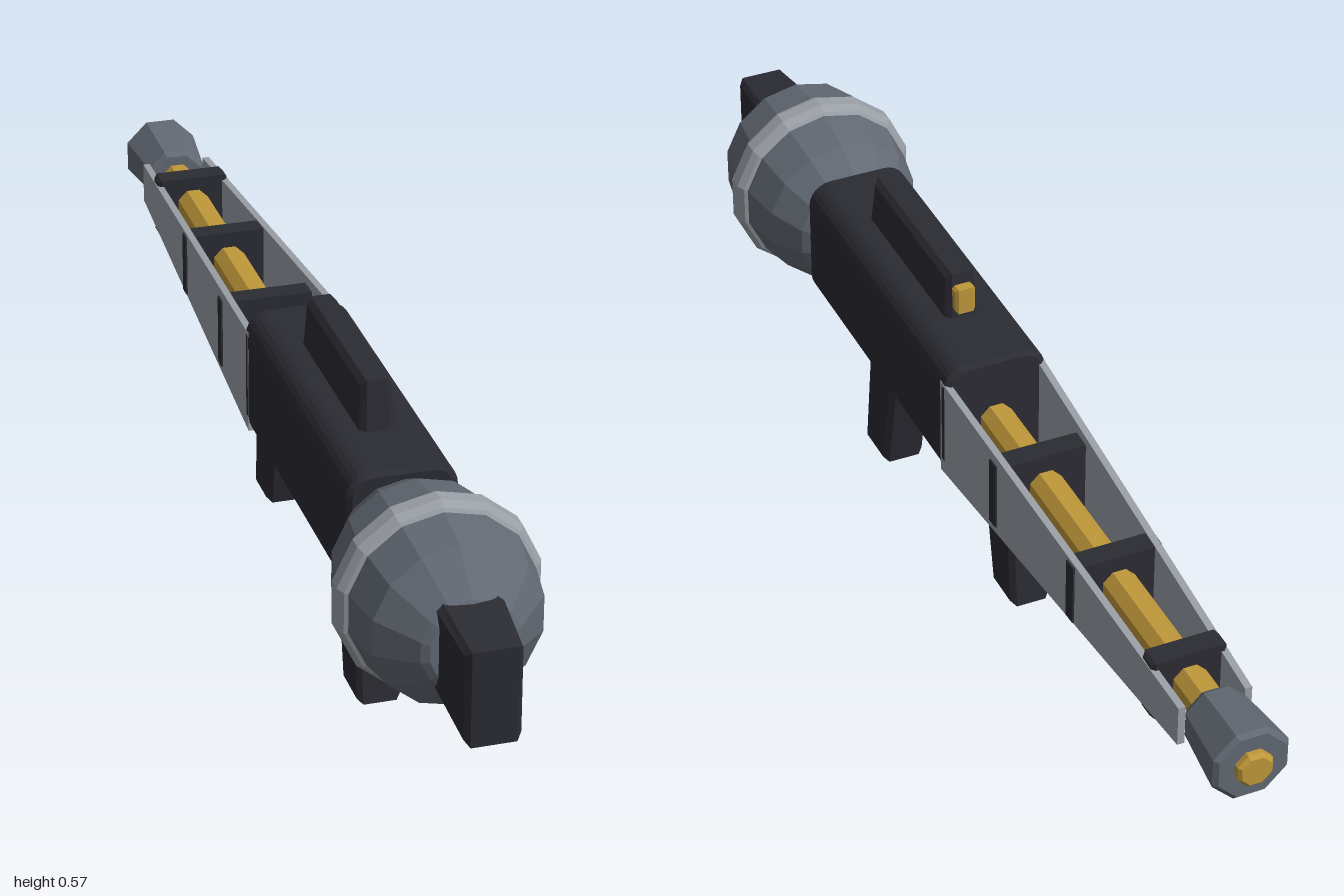
import * as THREE from 'three';

const mat = (name, color, extra = {}) => {
  const m = new THREE.MeshStandardMaterial({ color, flatShading: true, ...extra });
  m.name = name;
  return m;
};

export function createModel() {
  const dark = mat('dark gunmetal', 0x2b2b33);
  const steel = mat('blue steel', 0x626973);
  const silver = mat('light grey metal', 0x9a9fa6);
  const gold = mat('brass', 0xbf983a);
  const AXIS = 0.365;

  const group = new THREE.Group();
  group.name = 'launcher';
  const add = (name, geometry, material) => {
    const mesh = new THREE.Mesh(geometry, material);
    mesh.name = name;
    group.add(mesh);
    return mesh;
  };

  // Move every vertex by a rule
  const warp = (geo, rule) => {
    const p = geo.attributes.position, v = new THREE.Vector3();
    for (let i = 0; i < p.count; i++) {
      rule(v.fromBufferAttribute(p, i));
      p.setXYZ(i, v.x, v.y, v.z);
    }
    geo.computeVertexNormals();
    return geo;
  };

  // Side profile of [z, y] points, extruded across x with chamfered edges
  const slab = (profile, half, bevel) => {
    const shape = new THREE.Shape(profile.map(([z, y]) => new THREE.Vector2(z, y)));
    const geo = new THREE.ExtrudeGeometry(shape, {
      depth: 2 * (half - bevel), bevelEnabled: bevel > 0, bevelSegments: 1,
      bevelSize: bevel, bevelThickness: bevel, bevelOffset: -bevel,
    });
    return geo.translate(0, 0, bevel - half).rotateY(-Math.PI / 2);
  };

  // Turned part along z from [z, radius] points, rear to front
  const turned = (profile, sides, phase = 0) =>
    new THREE.LatheGeometry(profile.map(([z, r]) => new THREE.Vector2(r, z)), sides, phase)
      .rotateX(Math.PI / 2).translate(0, AXIS, 0);

  // Main body: rounded section extruded along z
  const w = 0.082, y0 = 0.267, y1 = 0.477, r = 0.032;
  const section = new THREE.Shape();
  section.absarc(w - r, y0 + r, r, -Math.PI / 2, 0);
  section.absarc(w - r, y1 - r, r, 0, Math.PI / 2);
  section.absarc(-w + r, y1 - r, r, Math.PI / 2, Math.PI);
  section.absarc(-w + r, y0 + r, r, Math.PI, Math.PI * 1.5);
  add('body', new THREE.ExtrudeGeometry(section, {
    depth: 0.584, curveSegments: 3, bevelSegments: 1, bevelSize: 0.008, bevelThickness: 0.008,
  }).translate(0, 0, -0.045), dark);

  // Bulbous warhead with its band and nose block
  add('warhead', turned([[0.53, 0], [0.53, 0.08], [0.55, 0.105], [0.61, 0.138], [0.685, 0.152],
    [0.745, 0.152], [0.825, 0.138], [0.885, 0.08], [0.892, 0.067], [0.892, 0]], 14), steel);
  add('warheadBand', turned([[0.685, 0.145], [0.692, 0.158], [0.705, 0.166], [0.73, 0.166],
    [0.743, 0.158], [0.75, 0.145]], 14), silver);
  add('noseBlock', warp(slab([[0.84, 0.296], [1, 0.262], [1, 0.424], [0.84, 0.444]], 0.055, 0.01),
    (v) => { v.x *= 1 - Math.max(0, v.z - 0.86) * 1.4; }), dark);

  // Top sight housing with brass eyepiece
  add('sightHousing', warp(slab([[0.08, 0.47], [0.415, 0.47], [0.403, 0.568], [0.088, 0.568]], 0.03, 0.01),
    (v) => { v.x *= 1 - Math.max(0, v.y - 0.48) * 2; }), dark);
  add('sightEyepiece', slab([[0.068, 0.5], [0.1, 0.5], [0.1, 0.547], [0.068, 0.547]], 0.018, 0.005), gold);

  // Slanted grips
  add('frontGrip', slab([[0.345, 0], [0.435, 0], [0.398, 0.29], [0.288, 0.29]], 0.037, 0.009), dark);
  add('rearGrip', slab([[-0.198, 0.08], [-0.115, 0.08], [-0.078, 0.27], [-0.183, 0.27]], 0.035, 0.009), dark);

  // Tapering side rails and the dark strips on them
  const railX = (z) => 0.09 - 0.034 * (-0.035 - z);
  for (const side of [1, -1]) {
    const label = side > 0 ? 'left' : 'right';
    const hug = (geo, offset) => warp(geo, (v) => { v.x += side * (railX(v.z) + offset); });
    add(label + 'Rail', hug(slab([[-0.86, 0.326], [-0.03, 0.272], [-0.03, 0.454], [-0.86, 0.398]], 0.006, 0), -0.006), silver);
    for (const z of [-0.23, -0.505]) {
      const h = z > -0.3 ? 0.062 : 0.055;
      add(label + 'RailStrip', hug(slab([[z - 0.012, 0.362 - h], [z + 0.012, 0.362 - h],
        [z + 0.012, 0.362 + h], [z - 0.012, 0.362 + h]], 0.002, 0), 0.001), dark);
    }
  }

  // Cross braces between the rails
  for (const [z, half, h] of [[-0.23, 0.078, 0.062], [-0.505, 0.069, 0.058], [-0.755, 0.064, 0.055]]) {
    add('crossBrace', slab([[z - 0.019, 0.362 - h], [z + 0.019, 0.362 - h],
      [z + 0.019, 0.362 + h], [z - 0.019, 0.362 + h]], half, 0.006), dark);
  }

  // Central brass tube, flared tail nozzle and its plug
  const phase = Math.PI / 8;
  add('centralTube', turned([[-0.9, 0], [-0.9, 0.03], [-0.04, 0.03], [-0.04, 0]], 8, phase), gold);
  add('tailNozzle', turned([[-0.985, 0], [-0.985, 0.06], [-0.978, 0.068], [-0.862, 0.055],
    [-0.852, 0.048], [-0.852, 0]], 8, phase), steel);
  add('tailPlug', turned([[-1, 0], [-1, 0.026], [-0.994, 0.032], [-0.97, 0.032]], 8, phase), gold);

  return group;
}
